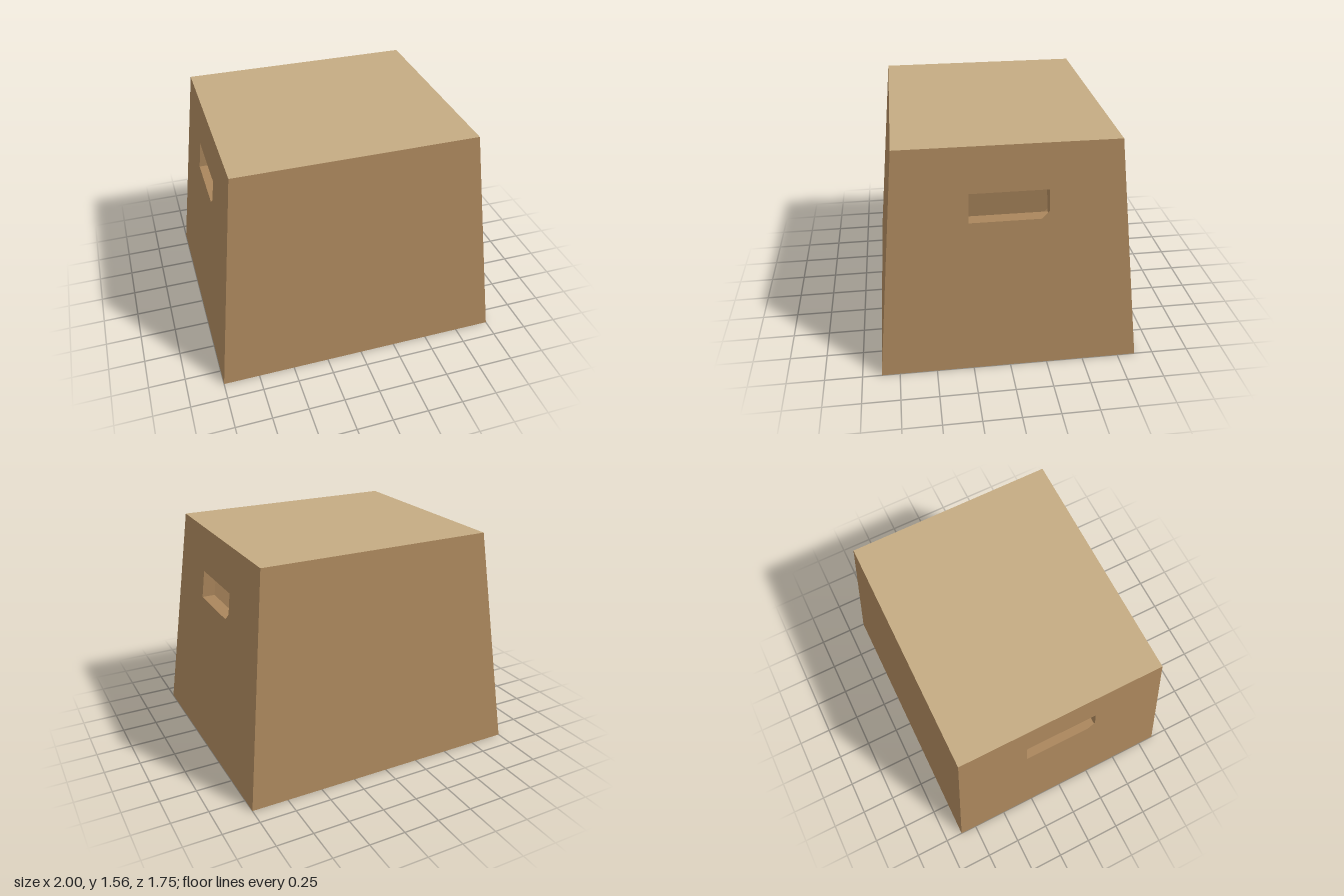
import * as THREE from 'three';

const H = 1.56, T = 0.09;
// Half width (x) and half depth (z) of the tapered body at height y
const halfX = y => 1 - 0.18 * y / H;
const halfZ = y => 0.873 - 0.155 * y / H;

// One sloping board with mitred edges, facing +z before it is turned
function wall(halfWidth, halfDistance, withHandle, material) {
  const shape = new THREE.Shape([[-1, 0], [1, 0], [1, H], [-1, H]].map(p => new THREE.Vector2(...p)));
  if (withHandle) {
    const u = 0.341, y0 = 1.06, y1 = 1.255;
    shape.holes.push(new THREE.Path([[-u, y0], [-u, y1], [u, y1], [u, y0]].map(p => new THREE.Vector2(...p))));
  }
  const geometry = new THREE.ExtrudeGeometry(shape, { depth: 1, bevelEnabled: false });
  const pos = geometry.attributes.position;
  for (let i = 0; i < pos.count; i++) {
    const u = pos.getX(i), inner = pos.getZ(i) < 0.5;
    // The inner face stops under the lid and draws in at the mitred corners
    const y = inner && pos.getY(i) > H - 0.01 ? H - T : pos.getY(i);
    const mitre = inner && Math.abs(u) > 0.99 ? T : 0;
    pos.setXYZ(i, u * (halfWidth(y) - mitre), y, halfDistance(y) - (inner ? T : 0));
  }
  geometry.computeVertexNormals();
  return new THREE.Mesh(geometry, material);
}

export function createModel() {
  const group = new THREE.Group();
  const wood = new THREE.MeshStandardMaterial({ color: 0xaa865c });
  const paleWood = new THREE.MeshStandardMaterial({ color: 0xc4ab82 });

  // Four walls; the two side walls have a handle slot
  ['frontWall', 'leftWall', 'backWall', 'rightWall'].forEach((name, i) => {
    const side = i % 2 === 1;
    const board = side ? wall(halfZ, halfX, true, wood) : wall(halfX, halfZ, false, wood);
    board.name = name;
    board.rotation.y = i * Math.PI / 2;
    group.add(board);
  });

  // Seat board, its edges mitred into the walls
  const lid = new THREE.BoxGeometry(2, 2, 2);
  const pos = lid.attributes.position;
  for (let i = 0; i < pos.count; i++) {
    const top = pos.getY(i) > 0;
    const y = top ? H : H - T, inset = top ? 0 : T;
    pos.setXYZ(i, pos.getX(i) * (halfX(y) - inset), y, pos.getZ(i) * (halfZ(y) - inset));
  }
  lid.computeVertexNormals();
  const seat = new THREE.Mesh(lid, paleWood);
  seat.name = 'seatTop';
  group.add(seat);

  return group;
}
